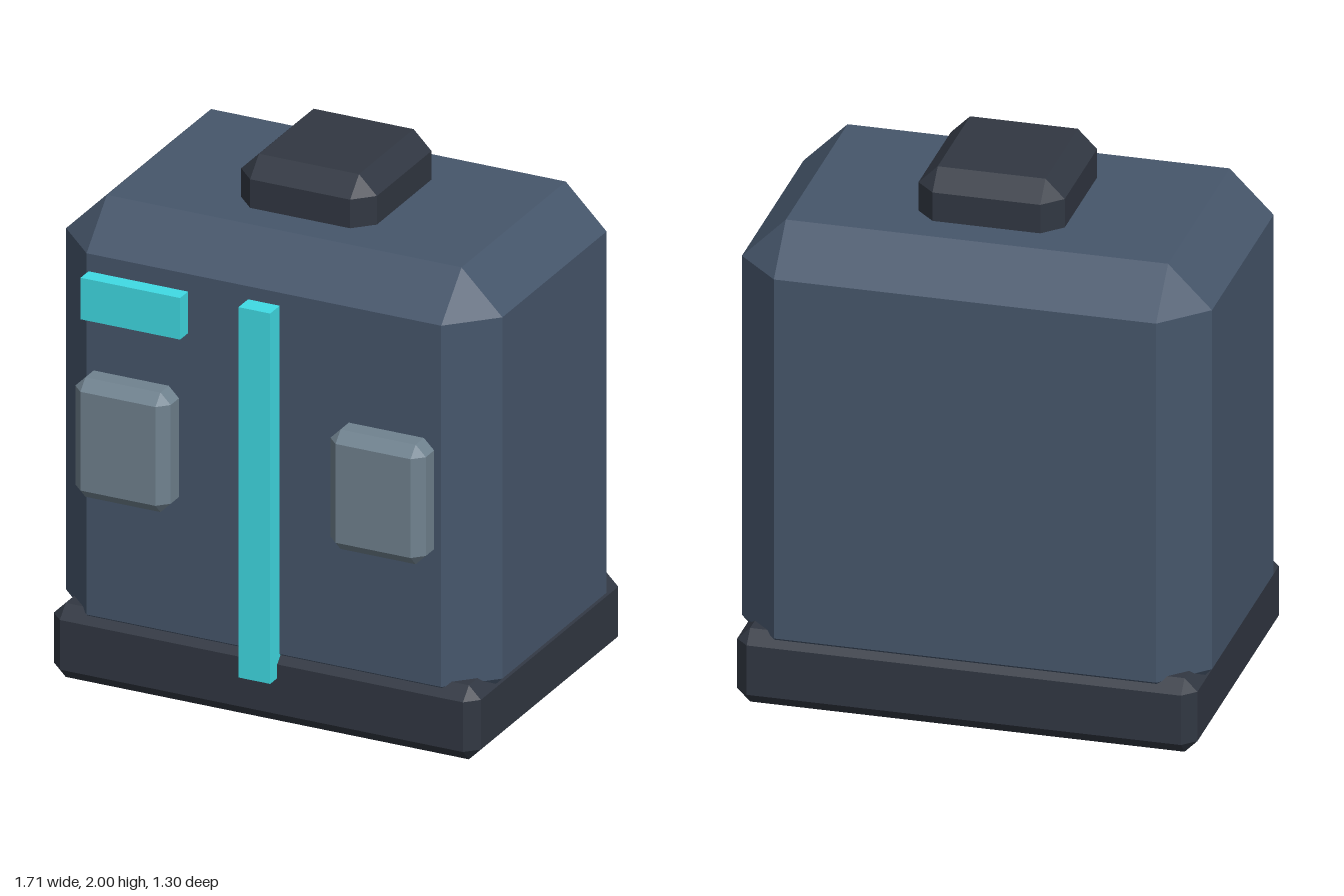
import * as THREE from 'three';
import { ConvexGeometry } from 'three/addons/geometries/ConvexGeometry.js';

const material = (color) => new THREE.MeshStandardMaterial({ color, flatShading: true });

// Box between two corners with every edge cut at 45 degrees by c
function chamferBox([x0, y0, z0], [x1, y1, z1], c) {
  const half = [(x1 - x0) / 2, (y1 - y0) / 2, (z1 - z0) / 2];
  const points = [];
  for (const sx of [-1, 1]) for (const sy of [-1, 1]) for (const sz of [-1, 1]) {
    for (let axis = 0; axis < 3; axis++) {
      // each corner becomes three points, one on each adjoining face
      const [x, y, z] = half.map((h, i) => (i === axis ? h : h - c));
      points.push(new THREE.Vector3(sx * x, sy * y, sz * z));
    }
  }
  return new ConvexGeometry(points).translate((x0 + x1) / 2, (y0 + y1) / 2, (z0 + z1) / 2);
}

function plainBox([x0, y0, z0], [x1, y1, z1]) {
  return new THREE.BoxGeometry(x1 - x0, y1 - y0, z1 - z0)
    .translate((x0 + x1) / 2, (y0 + y1) / 2, (z0 + z1) / 2);
}

export function createModel() {
  const group = new THREE.Group();
  const slate = material(0x46566b);
  const dark = material(0x313742);
  const grey = material(0x70828f);
  const teal = material(0x40dbe5);

  const add = (name, geometry, mat) => {
    const mesh = new THREE.Mesh(geometry, mat);
    mesh.name = name;
    group.add(mesh);
  };

  // Main housing, sunk into the base
  add('body', chamferBox([-0.855, 0.11, -0.635], [0.855, 1.82, 0.505], 0.16), slate);
  add('base', chamferBox([-0.837, 0, -0.65], [0.837, 0.285, 0.525], 0.047), dark);
  add('topCap', chamferBox([-0.266, 1.71, -0.35], [0.266, 2, 0.22], 0.07), dark);

  // Front pads
  for (const [name, x] of [['leftPad', 0.5], ['rightPad', -0.5]]) {
    add(name, chamferBox([x - 0.187, 0.775, 0.505], [x + 0.187, 1.235, 0.65], 0.04), grey);
  }

  // Bright front trim
  add('centreStrip', plainBox([-0.062, 0.185, 0.46], [0.062, 1.61, 0.58]), teal);
  add('frontLabelPlate', plainBox([-0.66, 1.46, 0.56], [-0.27, 1.62, 0.622]), teal);

  return group;
}
